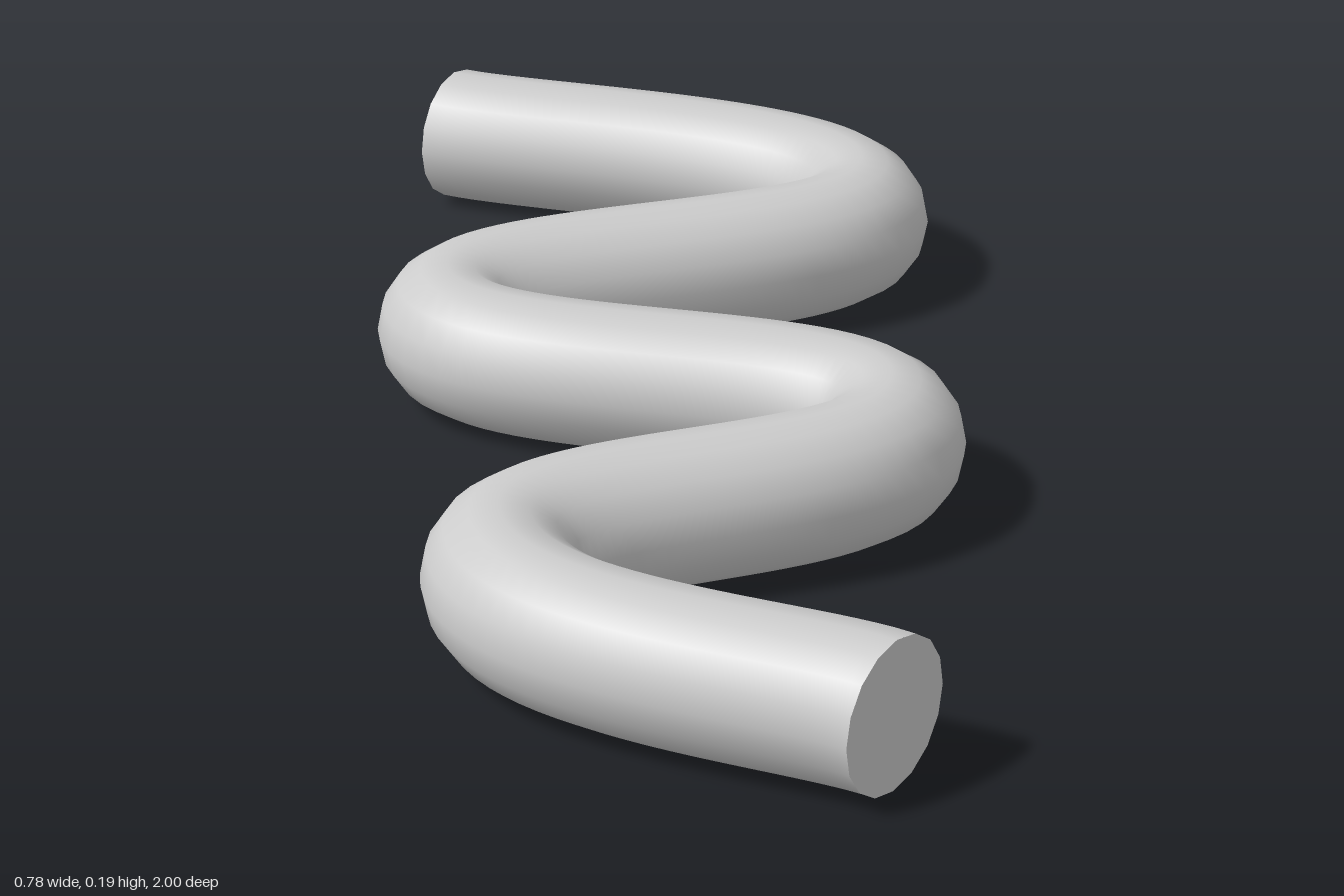
import * as THREE from 'three';

const RADIUS = 0.096;
const SIDES = 16;

// Each knot: position (x, z) and handle (dx, dz) pointing along the path
const KNOTS = [
  { p: [-0.297, -0.918], h: [0.129, 0.076] },
  { p: [0.29, -0.56], h: [0, 0.213] },
  { p: [-0.295, -0.18], h: [0, 0.213] },
  { p: [0.273, 0.19], h: [0, 0.21] },
  { p: [-0.222, 0.56], h: [0, 0.207] },
  { p: [0.22, 0.922], h: [0.101, 0.081] },
];

export function createModel() {
  const model = new THREE.Group();
  model.name = 'wavyTube';
  const grey = new THREE.MeshStandardMaterial({ color: 0xcccccc });
  grey.name = 'light grey';

  // Serpentine centre line lying flat
  const at = (k, s) => new THREE.Vector3(k.p[0] + s * k.h[0], RADIUS, k.p[1] + s * k.h[1]);
  const path = new THREE.CurvePath();
  for (let i = 0; i < KNOTS.length - 1; i++) {
    const a = KNOTS[i], b = KNOTS[i + 1];
    path.add(new THREE.CubicBezierCurve3(at(a, 0), at(a, 1), at(b, -1), at(b, 0)));
  }

  // Smooth round body
  const body = new THREE.Mesh(new THREE.TubeGeometry(path, 160, RADIUS, SIDES, false), grey);
  body.name = 'tubeBody';
  model.add(body);

  // Flat discs closing both ends, facing outward
  for (const [name, knot, dir] of [['backCap', KNOTS[0], -1], ['frontCap', KNOTS[KNOTS.length - 1], 1]]) {
    const cap = new THREE.Mesh(new THREE.CircleGeometry(RADIUS, SIDES), grey);
    cap.name = name;
    cap.position.copy(at(knot, 0));
    cap.lookAt(at(knot, dir));
    model.add(cap);
  }
  return model;
}
